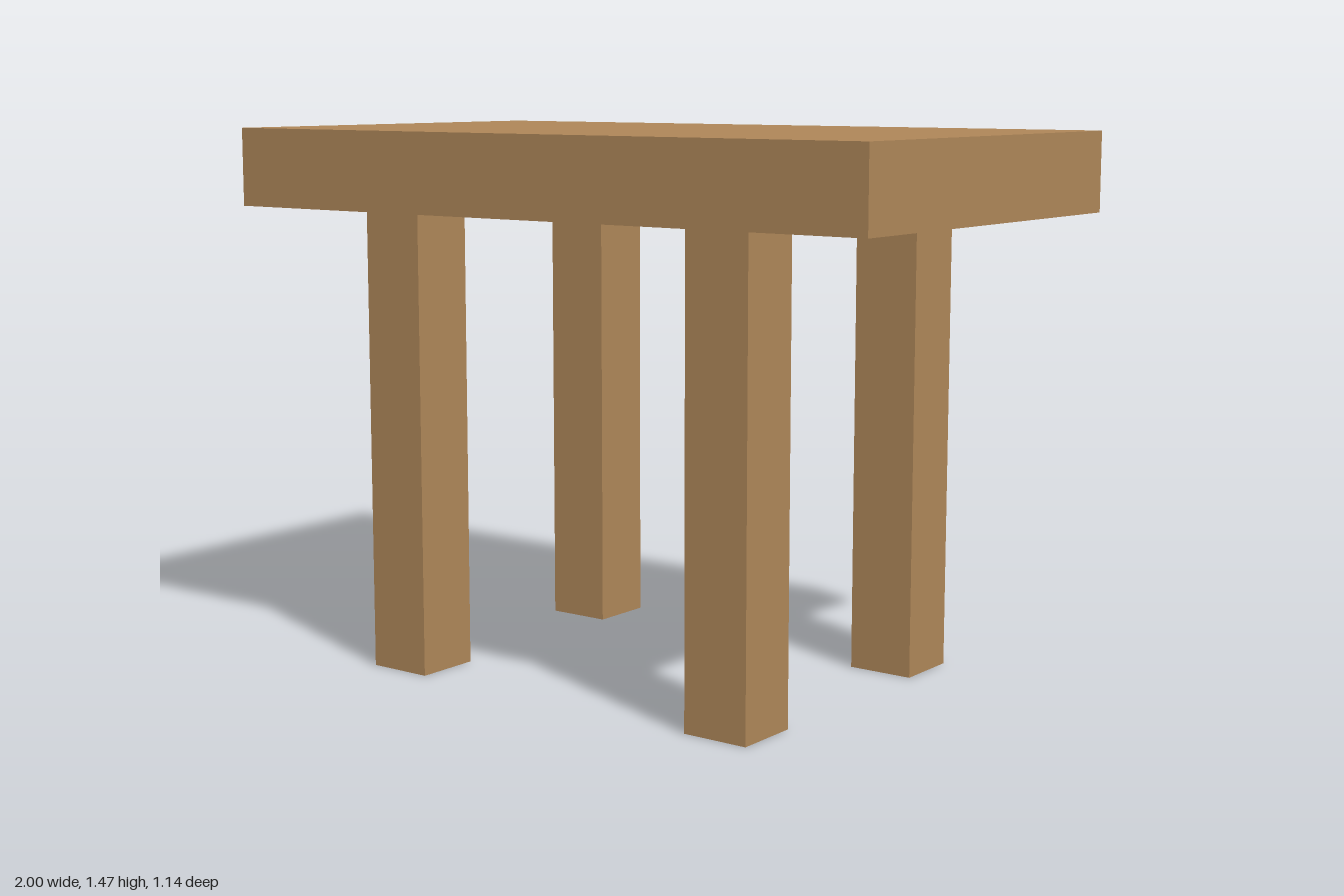
import * as THREE from 'three';

export function createModel() {
  const group = new THREE.Group();
  group.name = 'table';
  const wood = new THREE.MeshStandardMaterial({ color: 0xae8658 });
  wood.name = 'wood';

  const height = 1.465, legHeight = 1.253, legSize = 0.184;

  function addBox(name, size, position) {
    const mesh = new THREE.Mesh(new THREE.BoxGeometry(...size), wood);
    mesh.name = name;
    mesh.position.set(...position);
    group.add(mesh);
  }

  // Thick slab top
  addBox('tableTop', [2, height - legHeight, 1.144], [0, (height + legHeight) / 2, 0]);

  // Four square legs, set in from the edges and a hair off centre
  for (const [side, x] of [['Left', 0.524], ['Right', -0.532]]) {
    for (const [end, z] of [['front', 0.387], ['back', -0.385]]) {
      addBox(`${end}${side}Leg`, [legSize, legHeight, legSize], [x, legHeight / 2, z]);
    }
  }
  return group;
}
